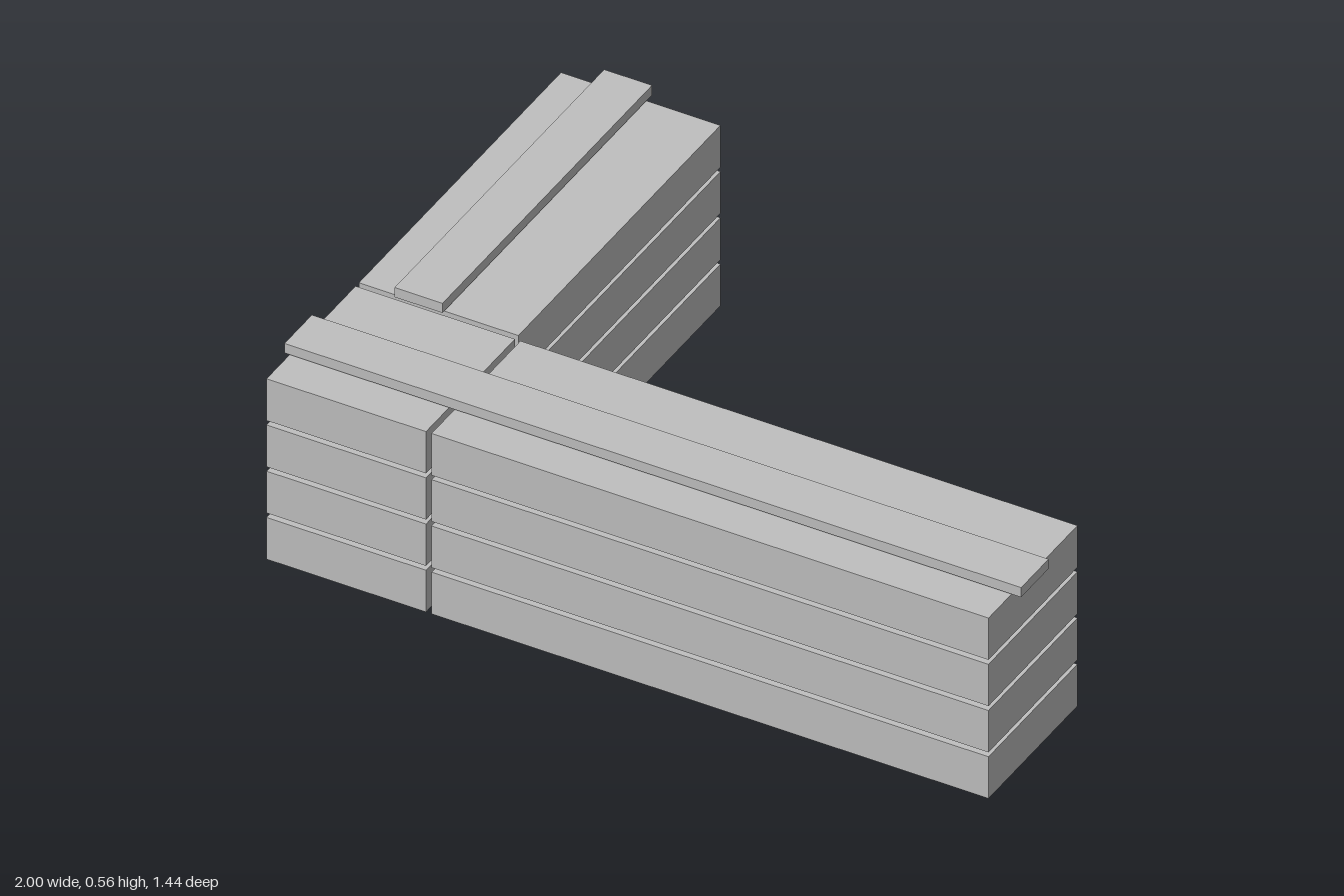
import * as THREE from 'three';

export function createModel() {
  const model = new THREE.Group();
  const grey = new THREE.MeshStandardMaterial({ color: 0xc0c0c0 });
  grey.name = 'light grey';

  // Box given by its extents on each axis
  function block(name, [x0, x1], [y0, y1], [z0, z1], parent) {
    const mesh = new THREE.Mesh(new THREE.BoxGeometry(x1 - x0, y1 - y0, z1 - z0), grey);
    mesh.position.set((x0 + x1) / 2, (y0 + y1) / 2, (z0 + z1) / 2);
    mesh.name = name;
    parent.add(mesh);
  }

  // Four stacked courses, each with a corner block and two arms
  const courseHeight = 0.122, courseStep = 0.135;
  for (let i = 0; i < 4; i++) {
    const course = new THREE.Group();
    course.name = `course${i + 1}`;
    const y = [i * courseStep, i * courseStep + courseHeight];
    block('cornerBlock', [-0.99, -0.557], y, [0.29, 0.718], course);
    block('frontBeam', [-0.542, 0.97], y, [0.29, 0.718], course);
    block('sideBeam', [-0.99, -0.557], y, [-0.698, 0.274], course);
    model.add(course);
  }

  // Thin rails lying along the top of each arm
  const railY = [0.533, 0.561];
  block('frontRail', [-1, 1], railY, [0.482, 0.614], model);
  block('sideRail', [-0.884, -0.754], railY, [-0.718, 0.29], model);

  return model;
}
